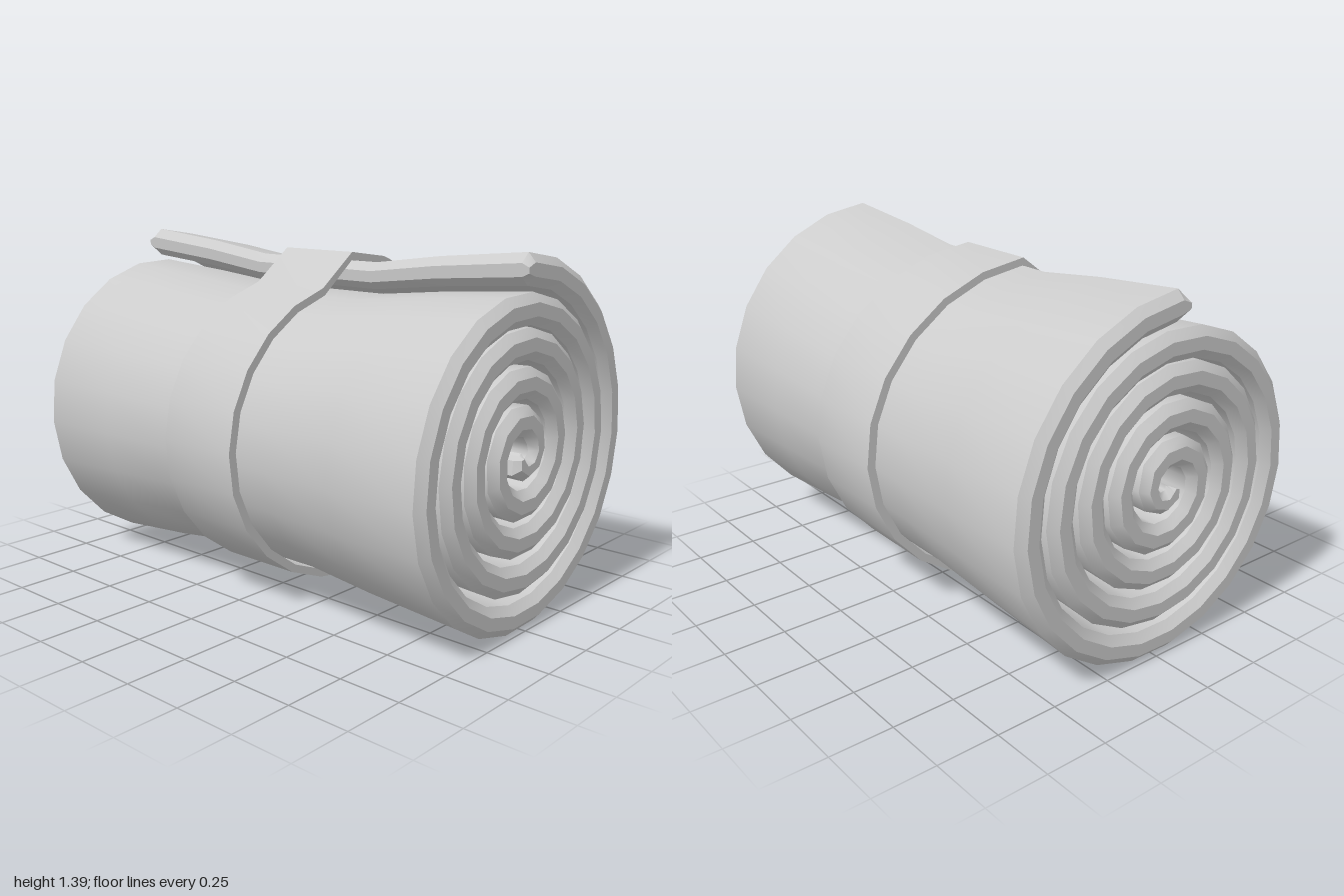
import * as THREE from 'three';
import { mergeGeometries } from 'three/addons/utils/BufferGeometryUtils.js';

const TURN = Math.PI * 2;
const CZ = 0.03, CY = 0.662, PITCH = 0.137;
const XS = [-1, -0.97, -0.6, -0.3, 0, 0.3, 0.6, 0.97, 1];

// Smooth surface over a grid of points; faces point along (column x row)
function surface(rows) {
  const n = rows[0].length, index = [];
  for (let i = 0; i < rows.length - 1; i++) {
    for (let j = 0; j < n - 1; j++) {
      const a = i * n + j, b = a + 1, c = a + n, d = c + 1;
      index.push(a, b, c, b, d, c);
    }
  }
  const g = new THREE.BufferGeometry();
  g.setAttribute('position', new THREE.Float32BufferAttribute(rows.flat(2), 3));
  g.setIndex(index);
  g.computeVertexNormals();
  return g;
}

// The strap squeezes the roll vertically towards its middle
function squeeze(x) {
  const a = Math.abs(x);
  if (a <= 0.3) return 0.892;
  if (a <= 0.6) return THREE.MathUtils.mapLinear(a, 0.3, 0.6, 0.892, 0.95);
  return Math.min(1, THREE.MathUtils.mapLinear(a, 0.6, 0.97, 0.95, 1));
}

const midRadius = (t) => 0.673 - PITCH * t / TURN;

// Point at angle t (0 = top, growing towards the back) and radius r
function polar(t, r, x, lift = 0) {
  const y = CY + lift + r * Math.cos(t);
  return [x, 0.7 + (y - 0.7) * squeeze(x), CZ - r * Math.sin(t)];
}

// One slab section: angle, half thickness
function sectionPoint({ t, r, h }, x, side) {
  const half = Math.abs(x) === 1 ? h * 0.42 : h;
  const lift = 0.015 * THREE.MathUtils.clamp(t / TURN - 1, 0, 1);
  return polar(t, r + side * half, x, lift);
}

// Sweep the bevelled slab outline; each strip keeps its own creased edges
function sweep(sections) {
  const out = XS.map((x) => [x, 1]);
  const inn = XS.map((x) => [x, -1]).reverse();
  const strips = [];
  for (const line of [out, inn]) {
    strips.push(line.slice(0, 2), line.slice(1, -1), line.slice(-2));
  }
  strips.push([[1, 1], [1, -1]], [[-1, -1], [-1, 1]]);
  return strips.map((s) => surface(sections.map((sec) => s.map(([x, side]) => sectionPoint(sec, x, side)))));
}

const cap = (sec, sides) => surface(sides.map((side) => XS.map((x) => sectionPoint(sec, x, side))));

function rolledMat() {
  const sections = [];
  const last = TURN * 4.66;
  // Steps widen towards the tight centre
  for (let t = 0; t < last;) {
    const r = midRadius(t);
    sections.push({ t, r, h: r < 0.1 ? 0.045 : 0.058 });
    t += 0.262 * Math.sqrt(0.673 / r);
  }
  const first = sections[0], end = sections[sections.length - 1];
  const outerTip = { t: -0.058, r: first.r, h: 0.024 };
  const innerTip = { t: end.t + 0.6, r: end.r - 0.01, h: 0.018 };
  return mergeGeometries([
    ...sweep([outerTip, first]),
    ...sweep(sections),
    ...sweep([end, innerTip]),
    cap(outerTip, [-1, 1]),
    cap(innerTip, [1, -1]),
  ]);
}

// Band wrapped around the outer turn, bridging the free edge at the top
function strapBand() {
  const W = 0.175, N = 24;
  const ring = (gap, x) => {
    const pts = [];
    for (let i = 0; i < N; i++) {
      const t = i / N * TURN;
      pts.push(polar(t, midRadius(t) + 0.058 + gap + 0.012 * i / N, x));
    }
    return [...pts, pts[0]];
  };
  const between = (a, b) => surface(a.map((p, i) => [p, b[i]]));
  const oL = ring(0.036, -W), oR = ring(0.036, W);
  const iL = ring(0.002, -W), iR = ring(0.002, W);
  return mergeGeometries([between(oL, oR), between(oR, iR), between(iR, iL), between(iL, oL)]);
}

export function createModel() {
  const model = new THREE.Group();
  model.name = 'rolledMatWithStrap';
  const material = new THREE.MeshStandardMaterial({ color: 0xcccccc, side: THREE.DoubleSide });
  const add = (name, geometry) => {
    const mesh = new THREE.Mesh(geometry, material);
    mesh.name = name;
    model.add(mesh);
  };
  add('rolledMat', rolledMat());
  add('strap', strapBand());
  return model;
}
